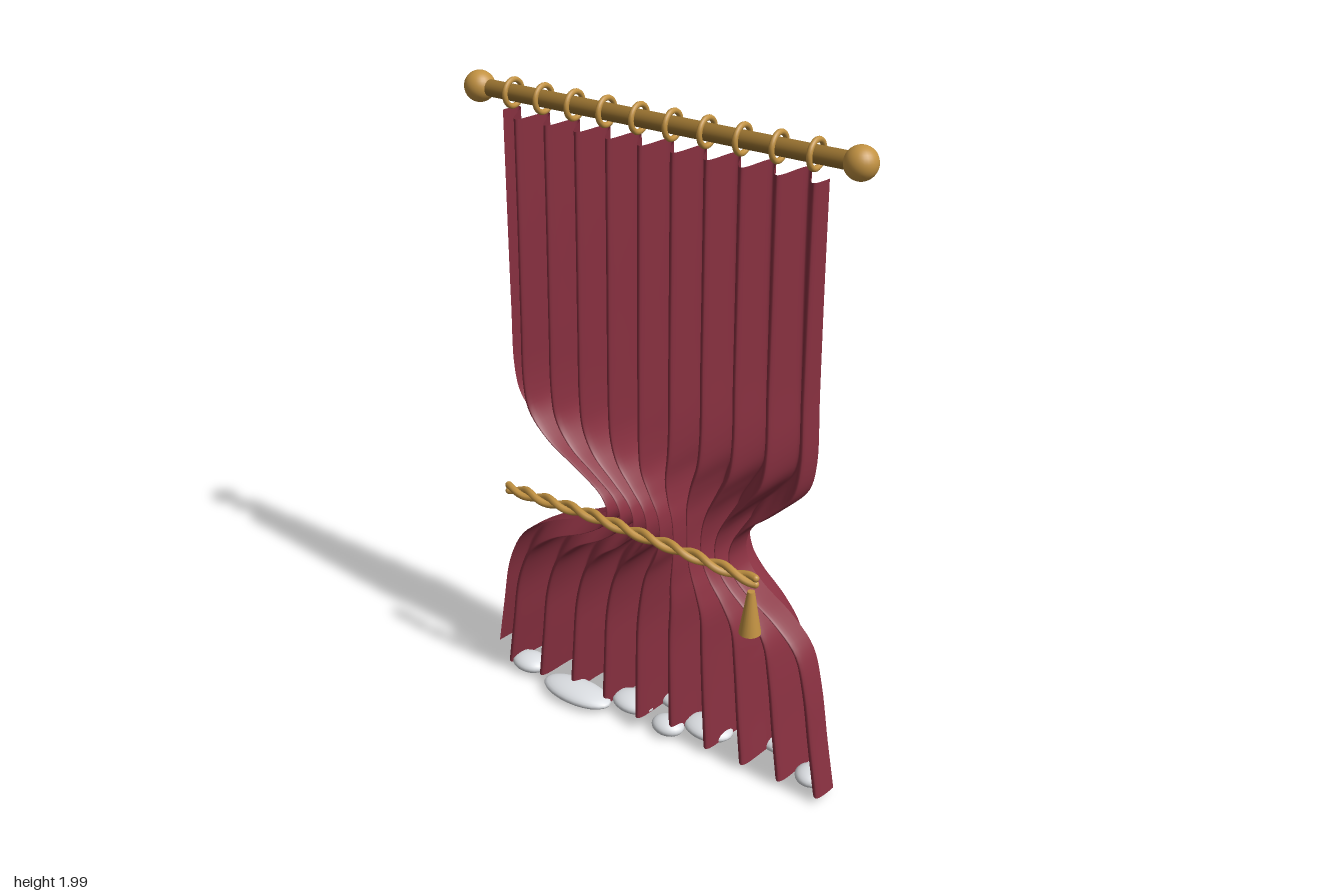
import * as THREE from 'three';

const V = (x, y, z) => new THREE.Vector3(x, y, z);
const mat = (name, color, side = THREE.FrontSide) => {
  const m = new THREE.MeshStandardMaterial({ color, side });
  m.name = name;
  return m;
};

export function createModel() {
  const model = new THREE.Group();
  model.name = 'tiedCurtain';
  const cloth = mat('wine cloth', 0x883040, THREE.DoubleSide);
  const wood = mat('dark gold', 0x96702f);
  const gold = mat('gold', 0xc29242);
  const white = mat('pale trim', 0xdde0e4);

  const add = (name, geometry, material, x = 0, y = 0, z = 0) => {
    const mesh = new THREE.Mesh(geometry, material);
    mesh.name = name;
    mesh.position.set(x, y, z);
    model.add(mesh);
    return mesh;
  };

  // Rod with ball ends and ten rings
  const rodY = 1.955;
  add('rod', new THREE.CylinderGeometry(0.024, 0.024, 1.23, 24), wood, 0, rodY, 0).rotation.z = Math.PI / 2;
  for (const s of [-1, 1]) add('finial', new THREE.SphereGeometry(0.045, 28, 18), gold, s * 0.612, rodY, 0);
  for (let i = 0; i < 10; i++) {
    add('ring', new THREE.TorusGeometry(0.037, 0.008, 10, 28), gold, -0.488 + i * 0.1084, rodY, 0).rotation.y = Math.PI / 2;
  }

  // Curtain outline from hem to heading: y, left edge, right edge, mid z, pleat depth
  const rows = [
    [0.03, -0.66, 0.65, -0.005, 0.074], [0.2, -0.63, 0.62, -0.005, 0.073],
    [0.38, -0.595, 0.59, -0.006, 0.073], [0.5, -0.535, 0.555, -0.008, 0.075],
    [0.58, -0.43, 0.48, -0.01, 0.078], [0.65, -0.27, 0.375, -0.013, 0.081],
    [0.7, -0.195, 0.325, -0.016, 0.083], [0.75, -0.175, 0.31, -0.017, 0.083],
    [0.8, -0.2, 0.32, -0.016, 0.082], [0.86, -0.3, 0.365, -0.013, 0.078],
    [0.93, -0.435, 0.445, -0.01, 0.074], [1.01, -0.515, 0.515, -0.007, 0.07],
    [1.1, -0.535, 0.535, -0.004, 0.066], [1.3, -0.535, 0.533, -0.002, 0.062],
    [1.6, -0.532, 0.53, 0, 0.057], [1.9, -0.53, 0.528, 0, 0.055],
  ];
  const edges = new THREE.CatmullRomCurve3(rows.map(r => V(r[1], r[0], r[2])));
  const depths = new THREE.CatmullRomCurve3(rows.map(r => V(r[3], r[0], r[4])));

  // Ten leaning pleats, both side edges at mid depth: front crests slide right, back crests left
  const pleats = 10, lean = 0.1;
  const sheet = new THREE.PlaneGeometry(1, 1, 240, 75);
  const pos = sheet.attributes.position;
  for (let i = 0; i < pos.count; i++) {
    const u = pos.getX(i) + 0.5, v = pos.getY(i) + 0.5;
    const e = edges.getPoint(v), d = depths.getPoint(v);
    const wave = -Math.sin(u * pleats * Math.PI * 2);
    const pitch = (e.z - e.x) / pleats;
    pos.setXYZ(i, e.x + pitch * (u * pleats + lean * wave), e.y, d.x + d.z * wave);
  }
  sheet.computeVertexNormals();
  add('curtain', sheet, cloth);

  // Tie rope: two strands wound round one path
  const path = new THREE.CatmullRomCurve3([
    V(-0.485, 0.738, 0.105), V(-0.33, 0.752, 0.118), V(-0.17, 0.763, 0.123),
    V(0, 0.757, 0.12), V(0.2, 0.742, 0.105), V(0.405, 0.716, 0.082),
  ]);
  for (const phase of [0, Math.PI]) {
    const pts = [];
    for (let i = 0; i <= 120; i++) {
      const a = (i / 120) * Math.PI * 2 * 5 + phase;
      pts.push(path.getPointAt(i / 120).add(V(0, Math.cos(a) * 0.01, Math.sin(a) * 0.01)));
    }
    const strand = new THREE.CatmullRomCurve3(pts);
    add('ropeStrand', new THREE.TubeGeometry(strand, 200, 0.0115, 8), gold);
    for (const t of [0, 1]) {
      const p = strand.getPoint(t);
      add('ropeEnd', new THREE.SphereGeometry(0.0115, 10, 8), gold, p.x, p.y, p.z);
    }
  }

  // Tassel
  add('tassel', new THREE.CylinderGeometry(0.011, 0.033, 0.14, 20), gold, 0.402, 0.62, 0.098);

  // Pale puffs along the hem: x, z, half width, half depth
  for (const [x, z, w, d] of [
    [-0.49, 0.035, 0.065, 0.05], [-0.26, 0.075, 0.13, 0.06], [-0.08, 0.01, 0.075, 0.055],
    [0.03, -0.085, 0.07, 0.05], [0.08, 0.045, 0.055, 0.045], [0.19, -0.02, 0.085, 0.06],
    [0.41, -0.09, 0.075, 0.05], [0.57, -0.01, 0.05, 0.05],
  ]) {
    add('hemPuff', new THREE.SphereGeometry(1, 24, 14), white, x, 0.036, z).scale.set(w, 0.028, d);
  }

  return model;
}
